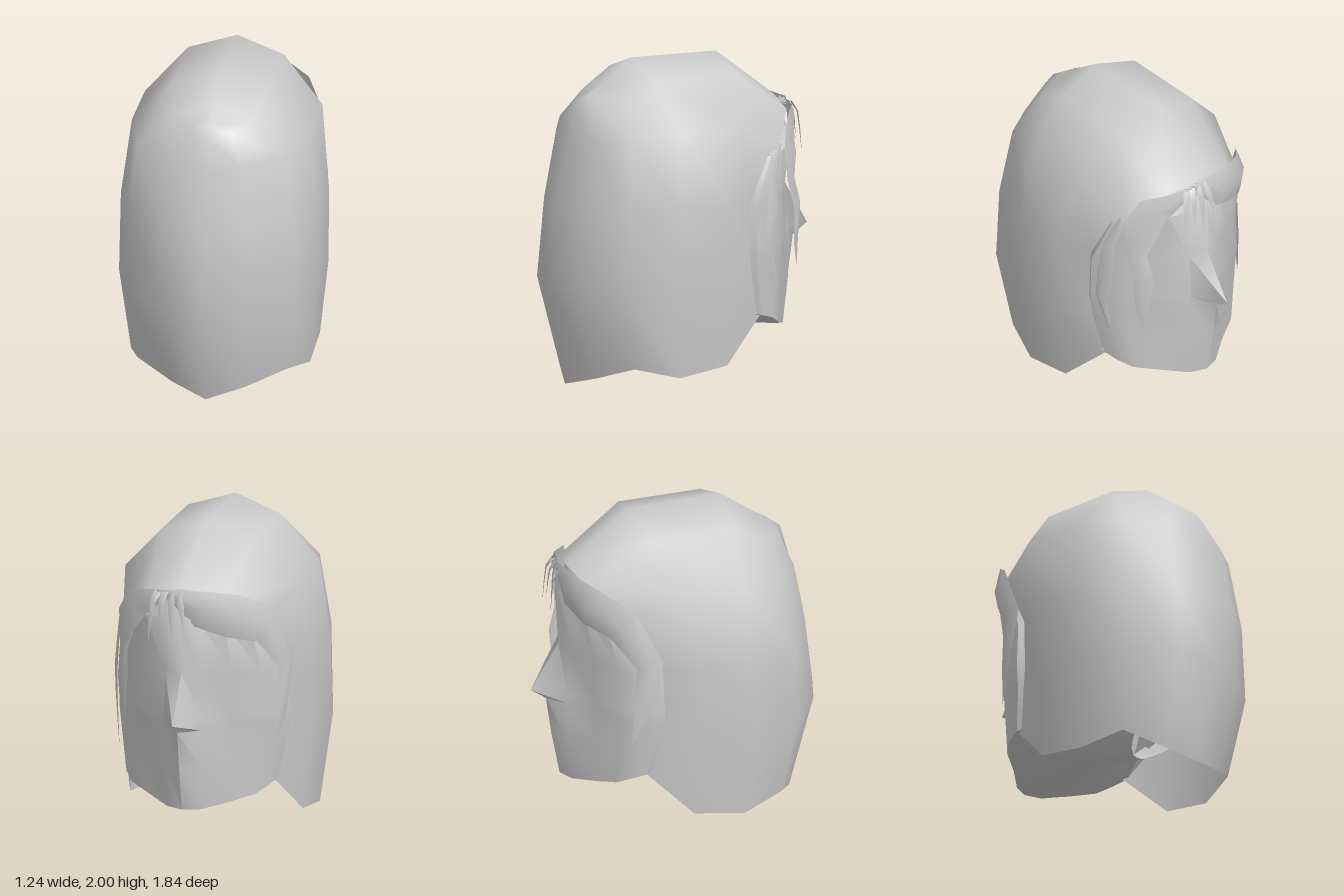
import * as THREE from 'three';
import { mergeVertices, toCreasedNormals } from 'three/addons/utils/BufferGeometryUtils.js';

const material = new THREE.MeshStandardMaterial({ color: 0xcccccc, side: THREE.DoubleSide });

// Surface through rows of [x, y, z] points, all rows of equal length
function loft(name, rows, crease = 0) {
  const n = rows[0].length, index = [];
  for (let r = 0; r < rows.length - 1; r++) {
    for (let c = 0; c < n - 1; c++) {
      const a = r * n + c, b = a + n;
      index.push(a, b, a + 1, a + 1, b, b + 1);
    }
  }
  let geo = new THREE.BufferGeometry();
  geo.setAttribute('position', new THREE.Float32BufferAttribute(rows.flat(2), 3));
  geo.setIndex(index);
  geo = mergeVertices(geo, 1e-4);
  if (crease) geo = toCreasedNormals(geo, crease);
  else geo.computeVertexNormals();
  const mesh = new THREE.Mesh(geo, material);
  mesh.name = name;
  return mesh;
}

// Completes a half row (x >= 0, starting at the centre line) with its mirror image
const mirrorRow = row => [...row.map(([x, y, z]) => [-x, y, z]).reverse(), ...row];

// Lock of hair lying on the head along a path, with a half width at each point
function lock(name, path, widths, bulge) {
  const points = path.map(p => new THREE.Vector3(...p));
  return loft(name, points.map((p, i) => {
    const along = points[Math.min(i + 1, points.length - 1)].clone().sub(points[Math.max(i - 1, 0)]);
    const out = new THREE.Vector3(p.x, 0, p.z + 0.2).normalize();
    const side = along.cross(out).normalize();
    return [
      p.clone().addScaledVector(side, widths[i]),
      p.clone().addScaledVector(out, widths[i] * bulge),
      p.clone().addScaledVector(side, -widths[i]),
    ].map(v => v.toArray());
  }));
}

// Long hair: arches from the crown down to the hem, front edge to back seam.
// The front edge tucks in behind the sides of the face.
function hair() {
  const profile = [0, 0.3, 0.555, 0.62, 0.62, 0.56];
  const arches = [ // width, heights of the crown points and hem, depths
    [0.82, [1.68, 1.63, 1.45], 0.41, [-0.69, -0.64, -0.47, -0.26, -0.26, -0.34]],
    [1, [1.99, 1.9, 1.62], 0.13, [-0.28, -0.24, -0.16, -0.03, -0.02, -0.05]],
    [1, [2, 1.9, 1.62], 0.08, [0.32, 0.3, 0.28, 0.3, 0.36, 0.28]],
    [0.84, [1.87, 1.78, 1.58], 0.145, [0.5, 0.52, 0.56, 0.62, 0.65, 0.55]],
    [0.4, [1.78, 1.74, 1.55], 0.06, [0.63, 0.65, 0.72, 0.79, 0.84, 0.69]],
    [0, [1.72, 1.72, 1.5], 0, [0.71, 0.71, 0.77, 0.86, 0.92, 0.78]],
  ];
  return loft('hair', arches.map(([width, crown, hem, depths]) => {
    const heights = [...crown, 1.13, 0.64, hem];
    return mirrorRow(profile.map((x, i) => [x * width, heights[i], depths[i]]));
  }));
}

// Face from hairline to chin, then the underside of the jaw and the open neck
function face() {
  const across = [0, 0.22, 0.52, 0.81, 0.94, 1];
  const back = [0, 0.04, 0.18, 0.44, 0.74, 1];
  const narrowing = [0, 0.06, 0.2, 0.14, 0.03, 0];
  const rise = [0, 0, 0.2, 0.5, 0.8, 1];
  const rows = [ // y, front z, nose length, half width, side z, rise to the side, taper
    [1.7, -0.6, 0, 0.43, -0.2, -0.2, 0],
    [1.5, -0.74, 0, 0.49, -0.4, -0.1, 0.2],
    [1.15, -0.73, 0.01, 0.54, -0.27, -0.05, 0.5],
    [0.86, -0.76, 0.16, 0.55, -0.27, 0, 0.7],
    [0.79, -0.77, 0.05, 0.55, -0.27, 0, 0.9],
    [0.55, -0.77, 0.015, 0.53, -0.28, 0.1, 1],
    [0.27, -0.73, 0, 0.49, -0.33, 0.14, 1],
    [0.31, -0.24, 0, 0.33, 0.15, 0.21, 0],
    [0.22, 0.22, 0, 0.18, 0.48, 0.12, 0],
  ];
  return loft('face', rows.map(([y, front, nose, half, side, lift, taper]) => {
    const row = across.map((t, i) => [
      t * half,
      y + rise[i] * lift,
      front + (back[i] + taper * narrowing[i]) * (side - front) - (i ? 0 : nose),
    ]);
    // The hidden back of each row closes on the centre line
    return mirrorRow([...row, [0, y + lift, 0.54]]);
  }), 0.75);
}

export function createModel() {
  const model = new THREE.Group();
  model.name = 'head';
  model.add(hair(), face());

  // Swept fringe on the right, running down beside the cheek
  model.add(lock('sweptFringe',
    [[0.09, 1.65, -0.72], [-0.12, 1.57, -0.72], [-0.3, 1.52, -0.64], [-0.47, 1.43, -0.48], [-0.54, 1.17, -0.33], [-0.535, 0.87, -0.38], [-0.5, 0.62, -0.44]],
    [0.03, 0.12, 0.14, 0.12, 0.085, 0.05, 0], 0.3));

  // Left fringe, ending in a long pointed lock
  model.add(lock('sideFringe',
    [[0.1, 1.64, -0.71], [0.22, 1.6, -0.69], [0.34, 1.53, -0.61], [0.405, 1.42, -0.58], [0.43, 1.23, -0.57], [0.42, 1.06, -0.62], [0.42, 0.83, -0.61], [0.41, 0.67, -0.62]],
    [0.03, 0.06, 0.11, 0.12, 0.06, 0.065, 0.04, 0], 0.25));

  // Thin lock in front of the ear
  model.add(lock('rearLock',
    [[0.48, 1.47, -0.47], [0.515, 1.26, -0.4], [0.53, 1.06, -0.39], [0.54, 0.86, -0.355], [0.52, 0.7, -0.4], [0.5, 0.55, -0.44]],
    [0.01, 0.035, 0.055, 0.038, 0.018, 0], 0.3));

  // Small loose strands hanging from the parting
  const strands = new THREE.Group();
  strands.name = 'looseStrands';
  for (let i = 0; i < 4; i++) {
    const x = 0.04 + i * 0.035, spread = (i - 1.5) * 0.025, drop = 0.22 + 0.08 * (i % 2);
    strands.add(lock('strand', [
      [x, 1.64, -0.68],
      [x + spread * 0.3, 1.66, -0.72],
      [x + spread, 1.6, -0.75],
      [x + spread * 1.4, 1.66 - drop * 0.6, -0.76],
      [x + spread * 1.6, 1.64 - drop, -0.77],
    ], [0.022, 0.022, 0.022, 0.014, 0], 0.3));
  }
  model.add(strands);
  return model;
}
